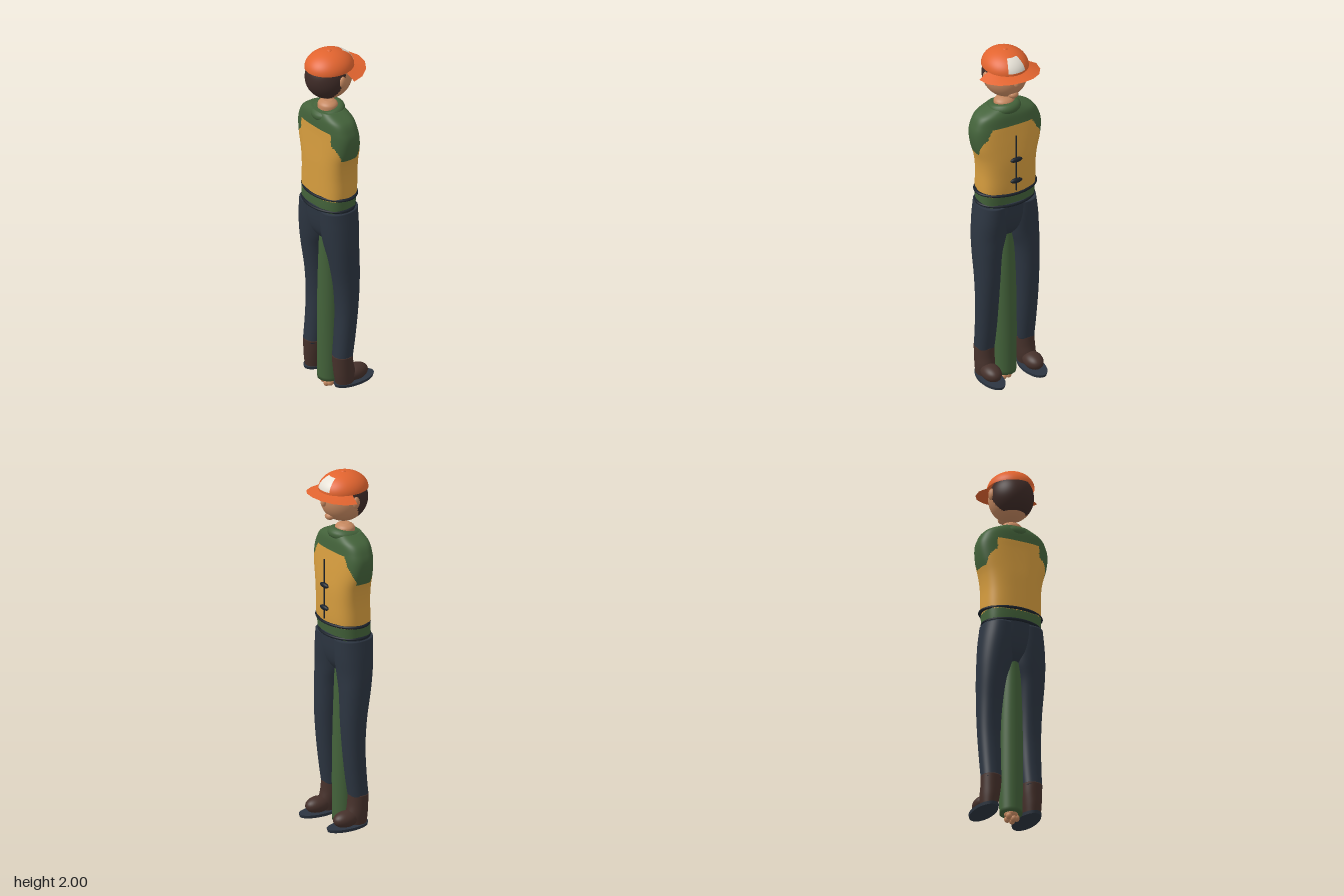
import * as THREE from 'three';

const mat = (name, color, side = THREE.FrontSide) => {
  const m = new THREE.MeshStandardMaterial({ color, side });
  m.name = name;
  return m;
};

// Catmull-Rom value through four numbers
const spline = (a, b, c, d, t) =>
  b + 0.5 * t * (c - a + t * (2 * a - 5 * b + 4 * c - d + t * (3 * (b - c) + d - a)));

// Smooth closed body through sections [y, centreX, centreZ, radiusX, radiusZ], listed upward
function loft(sections, power = 2, sides = 48, steps = 8) {
  const rings = [], last = sections.length - 1;
  for (let i = 0; i < last; i++) {
    const q = [i - 1, i, i + 1, i + 2].map(k => sections[Math.min(last, Math.max(0, k))]);
    for (let s = 0; s < steps; s++)
      rings.push(q[1].map((_, k) => spline(q[0][k], q[1][k], q[2][k], q[3][k], s / steps)));
  }
  rings.push(sections[last]);
  const shut = r => [r[0], r[1], r[2], 0.0005, 0.0005];
  rings.unshift(shut(rings[0]));
  rings.push(shut(sections[last]));
  const pos = [], index = [];
  const bend = v => Math.sign(v) * Math.pow(Math.abs(v), 2 / power);
  rings.forEach(([y, cx, cz, rx, rz], i) => {
    for (let j = 0; j < sides; j++) {
      const t = (j / sides) * Math.PI * 2;
      pos.push(cx + rx * bend(Math.cos(t)), y, cz + rz * bend(Math.sin(t)));
      if (i === rings.length - 1) continue;
      const a = i * sides + j, b = i * sides + (j + 1) % sides;
      index.push(a, a + sides, b, b, a + sides, b + sides);
    }
  });
  const g = new THREE.BufferGeometry();
  g.setAttribute('position', new THREE.Float32BufferAttribute(pos, 3));
  g.setIndex(index);
  g.computeVertexNormals();
  return g;
}

// Sort faces into two material groups by a rule on the face centre
function splitFaces(g, isSecond) {
  const p = g.attributes.position, idx = g.index.array, sets = [[], []];
  const c = new THREE.Vector3(), v = new THREE.Vector3();
  for (let i = 0; i < idx.length; i += 3) {
    c.set(0, 0, 0);
    for (let k = 0; k < 3; k++) c.add(v.fromBufferAttribute(p, idx[i + k]));
    c.divideScalar(3);
    sets[isSecond(c) ? 1 : 0].push(idx[i], idx[i + 1], idx[i + 2]);
  }
  g.setIndex([...sets[0], ...sets[1]]);
  g.clearGroups();
  g.addGroup(0, sets[0].length, 0);
  g.addGroup(sets[0].length, sets[1].length, 1);
  return g;
}

const ball = (x, y, z, rx, ry, rz, w = 32, h = 24) =>
  new THREE.SphereGeometry(1, w, h).scale(rx, ry, rz).translate(x, y, z);

export function createModel() {
  const model = new THREE.Group();
  const navy = mat('navy', 0x2c3541), dark = mat('darkTrim', 0x1b222b);
  const brown = mat('bootBrown', 0x46312b), hair = mat('hairBrown', 0x3d2a26);
  const orange = mat('capOrange', 0xe2642f, THREE.DoubleSide);
  const white = mat('panelWhite', 0xe6e1d6, THREE.DoubleSide);
  const yellow = mat('vestYellow', 0xd59c3e), green = mat('shirtGreen', 0x43623a);
  const skin = mat('skin', 0xc4875f);
  const add = (name, geometry, material, parent = model) => {
    const m = new THREE.Mesh(geometry, material);
    m.name = name;
    parent.add(m);
    return m;
  };

  // Torso: yellow vest with green yoke, sleeve stubs and shirt hem
  const torso = loft([
    [1.06, 0, 0.035, 0.150, 0.095],
    [1.12, 0, 0.035, 0.155, 0.103],
    [1.20, 0, 0.030, 0.157, 0.108],
    [1.30, 0, 0.028, 0.157, 0.108],
    [1.38, 0, 0.028, 0.167, 0.106],
    [1.46, 0, 0.030, 0.190, 0.100],
    [1.53, 0, 0.033, 0.199, 0.094],
    [1.58, 0, 0.036, 0.189, 0.090],
    [1.63, 0, 0.038, 0.158, 0.084],
    [1.665, 0, 0.040, 0.085, 0.070]
  ], 2.9, 96);
  splitFaces(torso, c => c.y > 1.572 || c.y < 1.172 ||
    (c.y > 1.42 && Math.abs(c.x) > 0.12 &&
      Math.abs(c.z - 0.038) < 0.045 + 0.04 * Math.min(1, (c.y - 1.42) / 0.1)));
  add('torso', torso, [yellow, green]);

  // Rolled collar, lower at the back of the neck
  add('collar', new THREE.TorusGeometry(0.062, 0.028, 16, 40).rotateX(Math.PI / 2)
    .scale(1, 1, 1.02).rotateX(0.2).translate(0, 1.648, 0.04), green);
  add('neck', loft([[1.62, 0, 0.04, 0.05, 0.05], [1.675, 0, 0.04, 0.056, 0.052],
    [1.695, 0, 0.04, 0.048, 0.043], [1.707, 0, 0.04, 0.025, 0.022]]), skin);

  // Waistband rings
  const ring = (name, y, cz, rx, rz, tilt) => add(name,
    new THREE.TorusGeometry(1, 0.055, 10, 56).rotateX(Math.PI / 2)
      .scale(rx / 1.055, 0.14, rz / 1.055).rotateX(tilt).translate(0, y, cz), dark);
  ring('vestHem', 1.18, 0.028, 0.178, 0.124, 0);
  ring('belt', 1.11, 0.036, 0.168, 0.123, 0);

  // Front fastening: thin cord with two toggles
  add('frontCord', new THREE.CylinderGeometry(0.004, 0.004, 0.33, 8).translate(0, 1.365, -0.09), dark);
  for (const y of [1.385, 1.26])
    add('toggle', ball(0, y, -0.09, 0.035, 0.014, 0.013, 20, 12), dark);

  // Trousers
  add('trouserSeat', loft([
    [0.90, 0, 0.034, 0.07, 0.05], [0.95, 0, 0.034, 0.150, 0.083],
    [1.02, 0, 0.034, 0.170, 0.100], [1.115, 0, 0.035, 0.163, 0.107]
  ], 2.3), navy);
  for (const s of [1, -1]) {
    const leg = new THREE.Group();
    leg.name = s > 0 ? 'leftLeg' : 'rightLeg';
    model.add(leg);
    add('trouserLeg', loft([
      [0.22, s * 0.119, 0.040, 0.052, 0.053],
      [0.35, s * 0.118, 0.024, 0.056, 0.056],
      [0.50, s * 0.118, 0.012, 0.060, 0.060],
      [0.65, s * 0.116, 0.012, 0.066, 0.070],
      [0.80, s * 0.111, 0.024, 0.076, 0.083],
      [0.90, s * 0.097, 0.032, 0.090, 0.092],
      [1.00, s * 0.087, 0.034, 0.093, 0.102],
      [1.10, s * 0.080, 0.035, 0.086, 0.106]
    ], 2.2), navy, leg);
    add('bootShaft', loft([
      [0.07, s * 0.125, 0.030, 0.044, 0.050],
      [0.12, s * 0.123, 0.028, 0.050, 0.060],
      [0.18, s * 0.120, 0.036, 0.053, 0.056],
      [0.235, s * 0.119, 0.040, 0.054, 0.055]
    ]), brown, leg);
    add('bootToe', ball(s * 0.125, 0.108, -0.043, 0.050, 0.044, 0.073), brown, leg);
    add('sole', new THREE.CylinderGeometry(1, 0.96, 0.016, 40)
      .scale(0.061, 1, 0.125).translate(s * 0.125, 0.067, -0.032), navy, leg);
  }

  // Green sleeves hanging together between the legs, with hands below
  add('hangingSleeves', loft([
    [0.05, 0, 0.033, 0.060, 0.060], [0.30, 0, 0.033, 0.063, 0.062],
    [0.60, 0, 0.034, 0.060, 0.058], [0.95, 0, 0.035, 0.045, 0.050]
  ]), green);
  add('palm', ball(0, 0.048, 0.035, 0.036, 0.030, 0.036), skin);
  for (const [x, y, z] of [[-0.02, 0.03, 0.05], [0.006, 0.019, 0.052], [0.027, 0.027, 0.045],
    [-0.015, 0.023, 0.02], [0.015, 0.021, 0.018]])
    add('finger', ball(x, y, z, 0.016, 0.019, 0.018, 14, 10), skin);

  // Head facing -z, with hair over the back
  const head = new THREE.Group();
  head.name = 'head';
  model.add(head);
  add('skull', splitFaces(ball(0, 1.85, 0.035, 0.116, 0.125, 0.129, 80, 60),
    c => c.y > 1.752 && c.z > 0.07 - 0.5 * (c.y - 1.76)), [skin, hair], head);
  add('nose', ball(0, 1.85, -0.094, 0.017, 0.024, 0.017, 20, 14), skin, head);
  add('chin', ball(0, 1.765, -0.056, 0.028, 0.020, 0.025, 20, 14), skin, head);
  for (const s of [1, -1]) {
    add('ear', ball(s * 0.113, 1.855, 0.032, 0.015, 0.032, 0.021, 20, 14), skin, head);
    add('eyebrow', ball(s * 0.045, 1.884, -0.075, 0.020, 0.010, 0.010, 16, 10), hair, head);
  }

  // Cap with crown, front panel, button and drooping brim
  const cap = new THREE.Group();
  cap.name = 'cap';
  model.add(cap);
  const crown = (grow, ...arc) => new THREE.SphereGeometry(grow, 48, 20, ...arc)
    .scale(0.121, 0.09, 0.135).translate(0, 1.905, 0.03);
  add('crown', crown(1, 0, Math.PI * 2, 0, Math.PI / 2), orange, cap);
  add('frontPanel', crown(1.012, Math.PI * 1.5 - 0.42, 0.84, 0.58, 0.85), white, cap);
  add('button', ball(0, 1.994, 0.03, 0.013, 0.006, 0.013, 16, 10), orange, cap);
  const brim = new THREE.PlaneGeometry(1, 1, 8, 3);
  const p = brim.attributes.position;
  for (let i = 0; i < p.count; i++) {
    const a = (p.getX(i) + 0.5) * Math.PI, t = p.getY(i) + 0.5;
    const c = Math.cos(a), s = Math.sin(a);
    p.setXYZ(i, c * (0.112 + 0.058 * t),
      1.904 - t * (0.009 + 0.022 * c * c),
      0.008 * (1 - t) - s * (0.100 + 0.068 * t));
  }
  brim.computeVertexNormals();
  add('brim', brim, orange, cap);

  return model;
}
